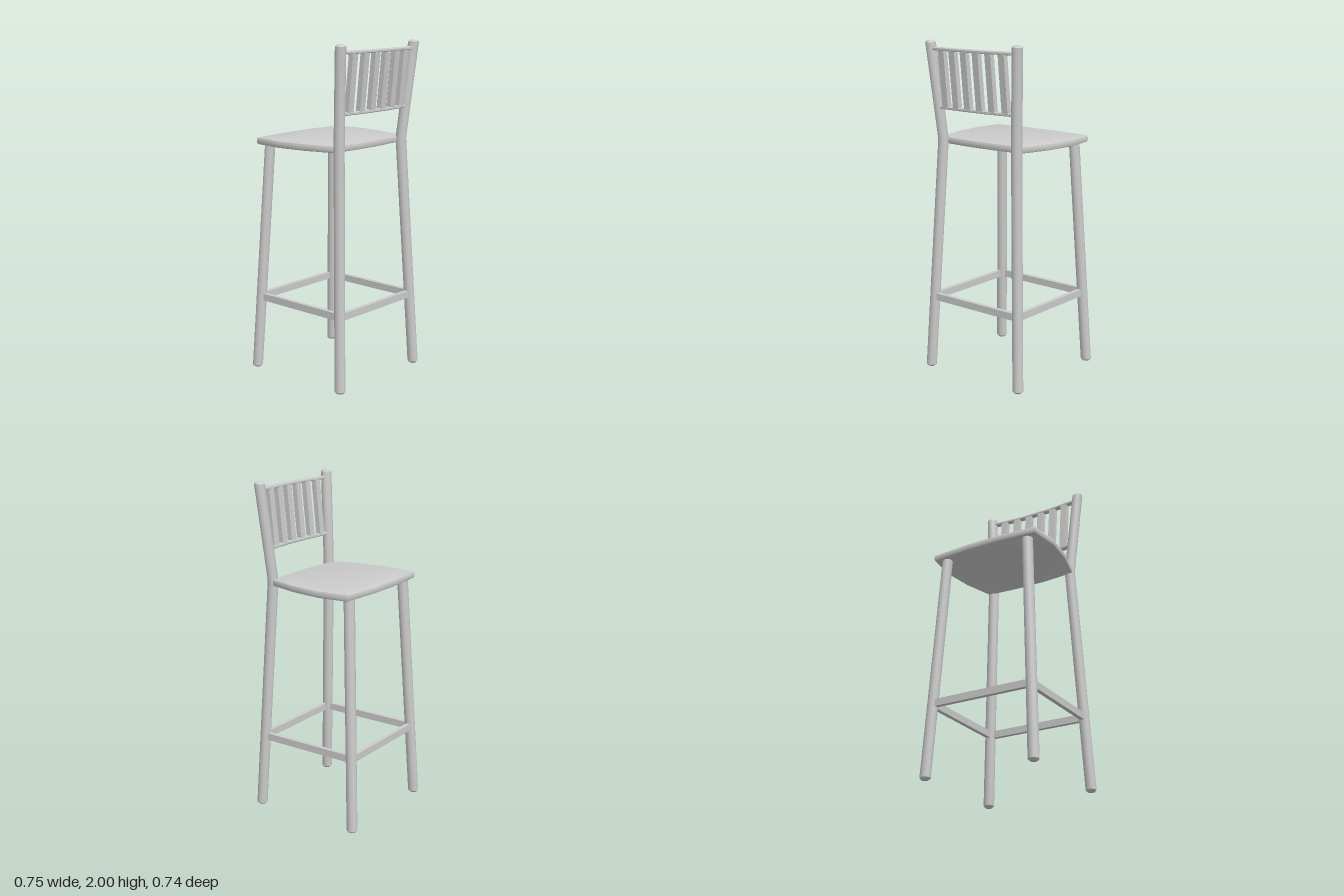
import * as THREE from 'three';
import { toCreasedNormals } from 'three/addons/utils/BufferGeometryUtils.js';

const material = new THREE.MeshStandardMaterial({ color: 0xcccccc });

function add(group, name, geometry) {
  const mesh = new THREE.Mesh(geometry, material);
  mesh.name = name;
  group.add(mesh);
  return mesh;
}

// Round post following a bent centre line of [x, y, z] points, chamfered at both ends
function post(path) {
  const r = 0.032, c = 0.011;
  const y0 = path[0][1], y1 = path[path.length - 1][1];
  const profile = [[0, y0], [r - c, y0], [r, y0 + c]];
  path.slice(1, -1).forEach((p) => profile.push([r, p[1]]));
  profile.push([r, y1 - c], [r - c, y1], [0, y1]);
  const geo = new THREE.LatheGeometry(profile.map((p) => new THREE.Vector2(...p)), 12);
  const pos = geo.attributes.position;
  for (let i = 0; i < pos.count; i++) {
    const y = pos.getY(i);
    let k = 0;
    while (k < path.length - 2 && y > path[k + 1][1]) k++;
    const a = path[k], b = path[k + 1], t = (y - a[1]) / (b[1] - a[1]);
    pos.setX(i, pos.getX(i) + a[0] + (b[0] - a[0]) * t);
    pos.setZ(i, pos.getZ(i) + a[2] + (b[2] - a[2]) * t);
  }
  return toCreasedNormals(geo, 0.6);
}

// Horizontal slab from an outline of [x, z] points, with softened edges
function slab(outline, yMin, yMax, bevel, segments) {
  const shape = new THREE.Shape(outline.map(([x, z]) => new THREE.Vector2(x, -z)));
  const geo = new THREE.ExtrudeGeometry(shape, {
    depth: yMax - yMin - 2 * bevel, bevelEnabled: true, bevelThickness: bevel,
    bevelSize: bevel, bevelOffset: -bevel, bevelSegments: segments,
  });
  geo.rotateX(-Math.PI / 2).translate(0, yMin + bevel, 0);
  return toCreasedNormals(geo, 0.5);
}

// Curved back rail: straight middle, ends swept towards the seat
const railZ = (x) => 0.016 * Math.min(1, Math.max(0, (0.28 - Math.abs(x)) / 0.18));
function rail(half, y, z) {
  const xs = [-half, -0.1, 0.1, half];
  const near = xs.map((x) => [x, z + railZ(x) - 0.0175]);
  const far = xs.map((x) => [x, z + railZ(x) + 0.0175]).reverse();
  return slab([...near, ...far], y - 0.009, y + 0.009, 0.004, 1);
}

export function createModel() {
  const model = new THREE.Group();
  model.name = 'barStool';

  // Legs: the two at the backrest bend at seat height and rise to the top
  for (const [side, s] of [['left', 1], ['right', -1]]) {
    add(model, side + 'BackrestLeg', post([[s * 0.345, 0, 0.34], [s * 0.279, 1.42, 0.274], [s * 0.325, 2, 0.325]]));
    add(model, side + 'OpenSideLeg', post([[s * 0.345, 0, -0.34], [s * 0.28, 1.4, -0.27]]));
  }

  // Seat with bowed sides
  const half = [[0.11, -0.329], [0.352, -0.31], [0.376, -0.115], [0.355, 0.07], [0.303, 0.26], [0.1, 0.277]];
  const mirrored = half.map(([x, z]) => [-x, z]).reverse();
  add(model, 'seat', slab([...half, ...mirrored], 1.392, 1.435, 0.012, 2));

  // Foot rails on all four sides
  for (const s of [1, -1]) {
    add(model, 'crossFootRail', new THREE.BoxGeometry(0.64, 0.043, 0.026)).position.set(0, 0.451, s * 0.323);
    add(model, 'sideFootRail', new THREE.BoxGeometry(0.026, 0.043, 0.64)).position.set(s * 0.324, 0.451, 0);
  }

  // Backrest: two curved rails and six leaning slats
  const low = { y: 1.613, z: 0.293 }, high = { y: 1.954, z: 0.328 };
  add(model, 'lowerBackRail', rail(0.27, low.y, low.z));
  add(model, 'upperBackRail', rail(0.292, high.y, high.z));
  const lean = Math.atan2(high.z - low.z, high.y - low.y);
  const length = Math.hypot(high.z - low.z, high.y - low.y);
  for (let i = 0; i < 6; i++) {
    const x = (i - 2.5) * 0.09;
    const slat = add(model, 'backSlat', new THREE.BoxGeometry(0.043, length, 0.032));
    slat.position.set(x, (low.y + high.y) / 2, (low.z + high.z) / 2 + railZ(x));
    slat.rotation.x = lean;
  }
  return model;
}
